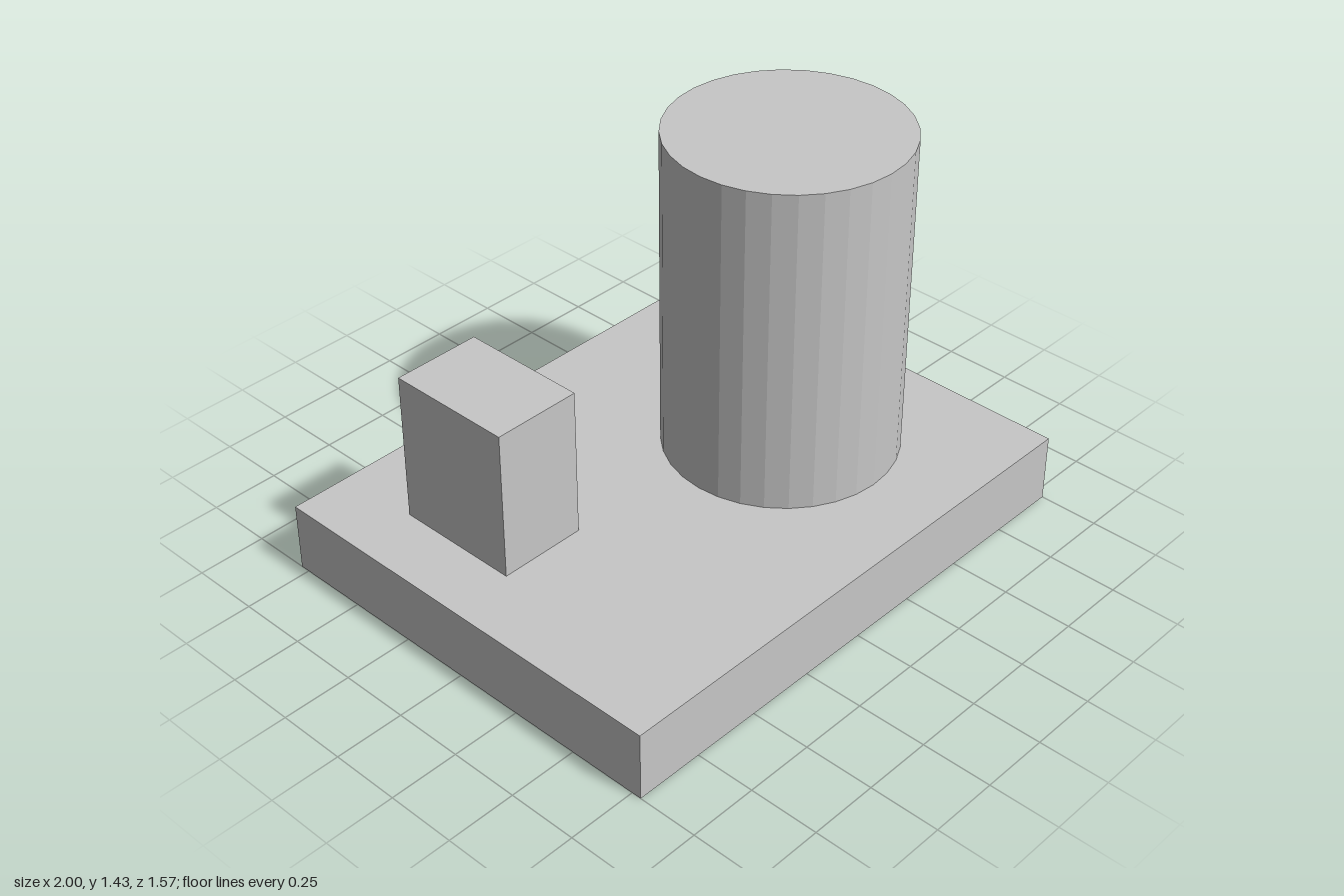
import * as THREE from 'three';

export function createModel() {
  const model = new THREE.Group();
  const grey = new THREE.MeshStandardMaterial({ color: 0xc6c6c6, flatShading: true });
  grey.name = 'lightGrey';

  const baseTop = 0.25;

  // Adds a part standing on the given level
  function add(name, geometry, x, bottom, z, height) {
    const mesh = new THREE.Mesh(geometry, grey);
    mesh.name = name;
    mesh.position.set(x, bottom + height / 2, z);
    model.add(mesh);
  }

  // Rectangular base slab
  add('base', new THREE.BoxGeometry(2, baseTop, 1.57), 0, 0, 0, baseTop);

  // Tall faceted round post
  add('roundPost', new THREE.CylinderGeometry(0.41, 0.41, 1.18, 32), 0.39, baseTop, 0.105, 1.18);

  // Short rectangular block
  add('block', new THREE.BoxGeometry(0.32, 0.54, 0.46), -0.61, baseTop, -0.253, 0.54);

  return model;
}
